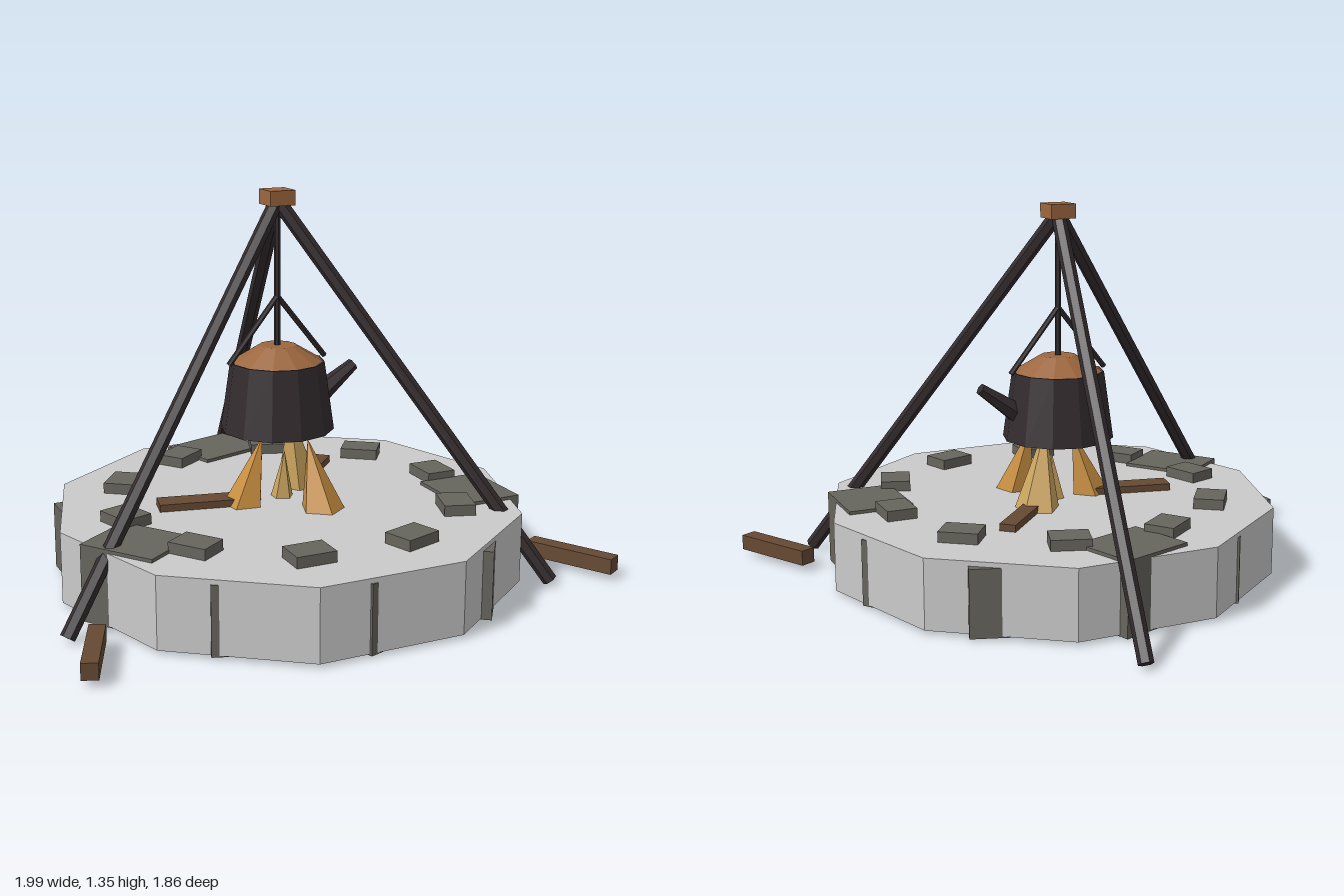
import * as THREE from 'three';

const mat = (name, color) => {
  const m = new THREE.MeshStandardMaterial({ color, flatShading: true });
  m.name = name;
  return m;
};

export function createModel() {
  const ash = mat('paleAsh', 0xcacaca);
  const stone = mat('greyStone', 0x67655d);
  const iron = mat('darkIron', 0x342c2e);
  const copper = mat('copperBrown', 0x9c673f);
  const wood = mat('brownWood', 0x664a33);
  const amber = mat('amberFlame', 0xc98f40);
  const gold = mat('goldFlame', 0xcda660);

  const root = new THREE.Group();
  root.name = 'campfire';
  const V = (x, y, z) => new THREE.Vector3(x, y, z);
  const add = (name, geo, material, x = 0, y = 0, z = 0, ry = 0) => {
    const m = new THREE.Mesh(geo, material);
    m.name = name;
    m.position.set(x, y, z);
    m.rotation.y = ry;
    root.add(m);
    return m;
  };
  // Round bar running from a to b
  const bar = (name, a, b, r0, r1, material, sides = 6) => {
    const dir = b.clone().sub(a);
    const mid = a.clone().add(b).multiplyScalar(0.5);
    const m = add(name, new THREE.CylinderGeometry(r1, r0, dir.length(), sides), material, mid.x, mid.y, mid.z);
    m.quaternion.setFromUnitVectors(V(0, 1, 0), dir.normalize());
    return m;
  };

  // Fire bed: ten-sided disc
  const cx = -0.04, cz = 0.135;
  add('fireBed', new THREE.CylinderGeometry(0.83, 0.83, 0.25, 10).rotateY(Math.PI / 2), ash, cx, 0.14, cz);

  // Two stone rings: big ones sunk into the bed, small ones on top
  const step = Math.PI / 5;
  const bigTall = [0, 4, 7], bigSmall = [2, 3, 6, 9];
  for (let i = 0; i < 10; i++) {
    const a = (i + 0.5) * step;
    const top = bigTall.includes(i) ? 0.277 : 0.248;
    const k = bigSmall.includes(i) ? 0.84 : 1;
    add('ringStone', new THREE.BoxGeometry(0.24 * k, top - 0.01, 0.28 * k), stone,
      cx + 0.665 * Math.cos(a), (top + 0.01) / 2, cz + 0.665 * Math.sin(a), -i * step);

    const b = i * step;
    add('smallStone', new THREE.BoxGeometry(0.11, 0.06, 0.14), stone,
      cx + 0.6 * Math.cos(b), 0.273, cz + 0.6 * Math.sin(b), -b + (i % 2) * step / 2);
  }

  // Tripod
  const px = -0.04, pz = 0.06;
  const feet = [V(-0.94, 0.018, 0.425), V(0.73, 0.018, 0.665), V(0.105, 0.018, -0.905)];
  for (const f of feet) bar('tripodLeg', f, V(px, 1.32, pz), 0.026, 0.026, iron);
  add('tripodCap', new THREE.BoxGeometry(0.095, 0.052, 0.095), copper, px, 1.33, pz);

  // Hanger rod and its two arms
  bar('hangerRod', V(px, 0.8, pz), V(px, 1.31, pz), 0.011, 0.011, iron);
  for (const s of [-1, 1]) bar('hangerArm', V(px + s * 0.185, 0.755, pz), V(px, 0.985, pz), 0.01, 0.01, iron);

  // Kettle, lid and spout
  add('kettle', new THREE.CylinderGeometry(0.167, 0.202, 0.245, 12), iron, px, 0.632, pz);
  add('kettleLid', new THREE.CylinderGeometry(0.065, 0.16, 0.057, 12), copper, px, 0.783, pz);
  bar('kettleSpout', V(0.09, 0.59, pz), V(0.262, 0.712, pz), 0.044, 0.022, iron);

  // Flames: cones leaning towards the kettle
  const flame = (base, tip, r, material, turn) => {
    const h = tip.y - base.y;
    const geo = new THREE.ConeGeometry(r, h, 5).rotateY(turn).translate(0, h / 2, 0);
    const p = geo.attributes.position;
    for (let i = 0; i < p.count; i++) {
      const t = p.getY(i) / h;
      p.setX(i, p.getX(i) + t * (tip.x - base.x));
      p.setZ(i, p.getZ(i) + t * (tip.z - base.z));
    }
    geo.computeVertexNormals();
    add('flame', geo, material, base.x, base.y, base.z);
  };
  flame(V(0.03, 0.26, 0.285), V(0, 0.505, 0.225), 0.08, amber, 0);
  flame(V(-0.2, 0.26, 0.12), V(-0.13, 0.505, 0.13), 0.075, amber, 0.5);
  flame(V(0.07, 0.26, 0), V(0.02, 0.56, 0.04), 0.085, gold, 0.9);
  flame(V(-0.04, 0.26, 0.1), V(-0.04, 0.44, 0.12), 0.042, gold, 0.3);

  // Logs in the fire and two loose logs on the ground
  const log = (name, x0, z0, x1, z1, y, w, h) =>
    add(name, new THREE.BoxGeometry(Math.hypot(x1 - x0, z1 - z0), h, w), wood,
      (x0 + x1) / 2, y, (z0 + z1) / 2, -Math.atan2(z1 - z0, x1 - x0));
  log('fireLog', -0.49, 0.045, -0.2, 0.105, 0.268, 0.085, 0.045);
  log('fireLog', 0.275, -0.21, 0.09, -0.01, 0.268, 0.06, 0.045);
  log('looseLog', -0.862, 0.495, -0.97, 0.755, 0.053, 0.055, 0.056);
  log('looseLog', 0.81, 0.43, 0.967, 0.715, 0.053, 0.06, 0.056);

  return root;
}
